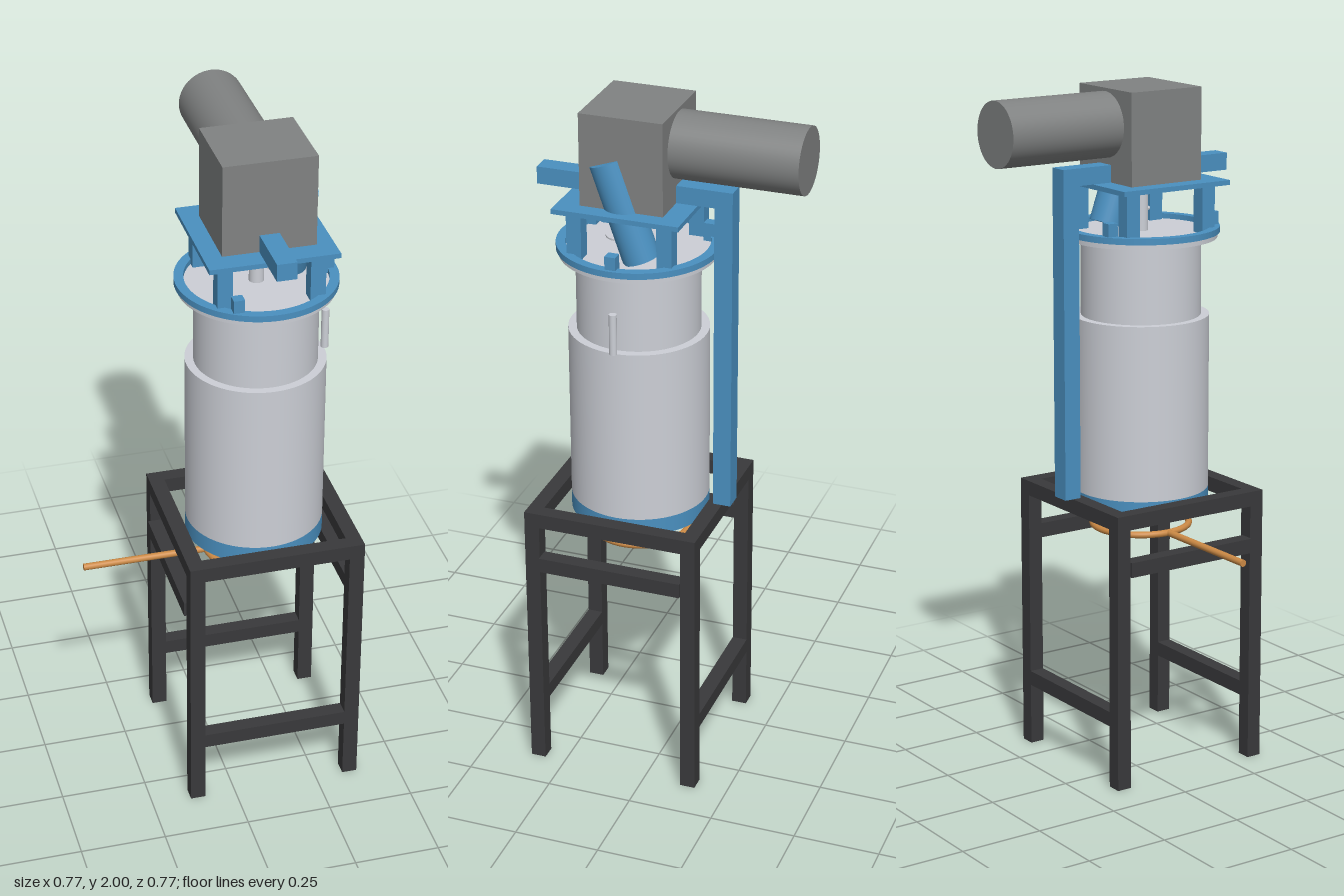
import * as THREE from 'three';

export function createModel() {
  const root = new THREE.Group();
  root.name = 'mixingVessel';

  const mat = (color) => new THREE.MeshStandardMaterial({ color });
  const steel = mat(0xcccfd6), blue = mat(0x4a90c0), dark = mat(0x39393b);
  const grey = mat(0x808282), copper = mat(0xcc8a45);

  // common vertical axis of the vessel
  const CX = 0.121, CZ = 0.1;

  const add = (name, geo, material, x = 0, y = 0, z = 0) => {
    const m = new THREE.Mesh(geo, material);
    m.name = name;
    m.position.set(x, y, z);
    root.add(m);
    return m;
  };
  // box given by its limits on each axis
  const box = (name, material, x0, x1, y0, y1, z0, z1) =>
    add(name, new THREE.BoxGeometry(x1 - x0, y1 - y0, z1 - z0), material,
      (x0 + x1) / 2, (y0 + y1) / 2, (z0 + z1) / 2);
  // upright cylinder between two heights
  const disc = (name, material, r, y0, y1, x = CX, z = CZ, seg = 64) =>
    add(name, new THREE.CylinderGeometry(r, r, y1 - y0, seg), material, x, (y0 + y1) / 2, z);

  // stand: four legs, square top frame, low front/back bars, high side bars
  const H = 0.256, T = 0.044, TOP = 0.825;
  for (const sx of [-1, 1]) {
    for (const sz of [-1, 1]) {
      add('standLeg', new THREE.BoxGeometry(T, TOP - T, T), dark,
        CX + sx * (H - T / 2), (TOP - T) / 2, CZ + sz * (H - T / 2));
    }
    const o = sx * (H - T / 2);
    add('topFrameSide', new THREE.BoxGeometry(T, T, 2 * H), dark, CX + o, TOP - T / 2, CZ);
    add('topFrameEnd', new THREE.BoxGeometry(2 * (H - T), T, T), dark, CX, TOP - T / 2, CZ + o);
    add('lowerCrossbar', new THREE.BoxGeometry(2 * (H - T), T, T), dark, CX, 0.208, CZ + o);
    add('upperSideBar', new THREE.BoxGeometry(T, T, 2 * (H - T)), dark, CX + sx * (H - T / 2 + 0.007), 0.663, CZ);
  }

  // ring burner with its feed pipe
  const ring = add('burnerRing', new THREE.TorusGeometry(0.142, 0.01, 12, 64), copper, CX, 0.71, CZ);
  ring.rotation.x = Math.PI / 2;
  const pipe = add('burnerPipe', new THREE.CylinderGeometry(0.01, 0.01, 0.364, 16), copper, -0.203, 0.71, CZ);
  pipe.rotation.z = Math.PI / 2;

  // vessel: base, jacket, inner wall and flanged lid
  disc('vesselBase', blue, 0.198, 0.775, TOP);
  disc('jacket', steel, 0.198, TOP, 1.34);
  disc('innerVessel', steel, 0.174, 1.34, 1.565);
  disc('lid', steel, 0.22, 1.565, 1.583);
  disc('ventPipe', steel, 0.011, 1.34, 1.46, 0.322, CZ, 16);

  // clamping ring on the lid
  const ringShape = new THREE.Shape().absarc(0, 0, 0.227, 0, Math.PI * 2, false);
  ringShape.holes.push(new THREE.Path().absarc(0, 0, 0.2, 0, Math.PI * 2, true));
  const clamp = add('clampRing',
    new THREE.ExtrudeGeometry(ringShape, { depth: 0.018, bevelEnabled: false, curveSegments: 64 }),
    blue, CX, 1.58, CZ);
  clamp.rotation.x = -Math.PI / 2;

  // three clamp lugs around the ring
  for (let i = 0; i < 3; i++) {
    const a = (i * Math.PI * 2) / 3;
    add('clampLug', new THREE.BoxGeometry(0.031, 0.055, 0.031), blue,
      CX + 0.202 * Math.cos(a), 1.608, CZ + 0.202 * Math.sin(a));
  }

  // drive platform on four short posts
  for (const sx of [-1, 1]) for (const sz of [-1, 1]) {
    add('platformPost', new THREE.BoxGeometry(0.043, 0.14, 0.043), blue,
      CX + sx * 0.13, 1.652, CZ + sz * 0.13);
  }
  add('platform', new THREE.BoxGeometry(0.364, 0.014, 0.364), blue, CX, 1.728, CZ);

  // mixer shaft and small inspection cover
  disc('mixerShaft', steel, 0.021, 1.58, 1.725, CX, CZ, 32);
  disc('inspectionCover', steel, 0.043, 1.633, 1.638, 0.185, 0.125, 32);

  // slanted filling tube through the platform
  const chute = add('fillingTube', new THREE.CylinderGeometry(0.052, 0.052, 0.29, 32), blue, 0.224, 1.728, 0.1);
  chute.rotation.x = 0.337;

  // support column and the beam carrying the drive
  box('supportColumn', blue, 0.094, 0.15, TOP, 1.785, -0.182, -0.13);
  box('supportBeam', blue, 0.094, 0.15, 1.735, 1.785, -0.13, 0.385);

  // gearbox and motor
  box('gearbox', grey, -0.009, 0.254, 1.735, 2, -0.021, 0.218);
  const motor = add('motor', new THREE.CylinderGeometry(0.094, 0.094, 0.364, 48), grey, 0.123, 1.897, -0.203);
  motor.rotation.x = Math.PI / 2;

  return root;
}
